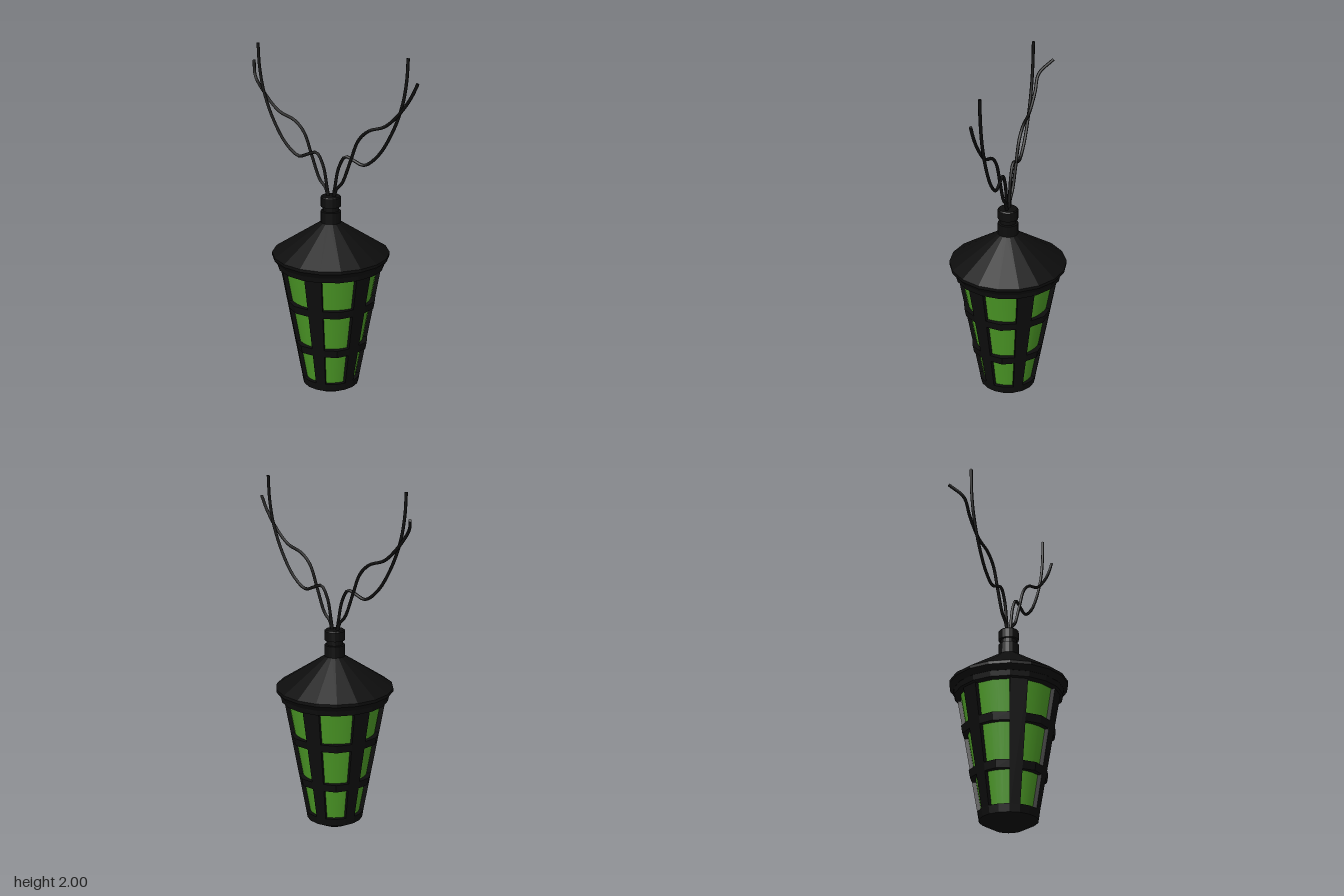
import * as THREE from 'three';

const DEG = Math.PI / 180;
const SIDES = 18;
const START = 5 * DEG; // angle of the first facet corner

// Outer radius of the tapering body at height y
const bodyRadius = (y) => 0.162 + (y - 0.05) * 0.18;

// A box bent round the y axis: x becomes angle, z becomes depth below the body surface
function bentBox(a0, a1, y0, y1, depth, segments, bulge = 0) {
  const g = new THREE.BoxGeometry(1, 1, 1, segments, 1, 1);
  const p = g.attributes.position;
  for (let i = 0; i < p.count; i++) {
    const t = p.getX(i) + 0.5;
    const a = (a0 + (a1 - a0) * t) * DEG;
    const y = y0 + (y1 - y0) * (p.getY(i) + 0.5);
    const out = p.getZ(i) > 0;
    const r = bodyRadius(y) - (out ? 0 : depth) + (out ? bulge * Math.sin(t * Math.PI) : 0);
    p.setXYZ(i, Math.sin(a) * r, y, Math.cos(a) * r);
  }
  g.computeVertexNormals();
  return g;
}

export function createModel() {
  const model = new THREE.Group();
  model.name = 'hangingLantern';
  const black = new THREE.MeshStandardMaterial({ color: 0x0d0d0d, flatShading: true, side: THREE.DoubleSide });
  const wireBlack = new THREE.MeshStandardMaterial({ color: 0x0d0d0d });
  const green = new THREE.MeshStandardMaterial({ color: 0x4c9a26, side: THREE.DoubleSide });

  const lantern = new THREE.Group();
  lantern.name = 'lantern';
  lantern.position.x = -0.01;
  model.add(lantern);

  const add = (name, geometry, material, parent = lantern) => {
    const mesh = new THREE.Mesh(geometry, material);
    mesh.name = name;
    parent.add(mesh);
    return mesh;
  };
  const turned = (name, points, sides = SIDES) =>
    add(name, new THREE.LatheGeometry(points.map(([r, y]) => new THREE.Vector2(r, y)), sides, START), black);

  // Conical roof with an undercut eave
  turned('roof', [[0.27, 0.79], [0.312, 0.795], [0.335, 0.825], [0.335, 0.842], [0.055, 1.025], [0, 1.025]]);

  // Neck and cap with a groove between them
  turned('neck', [[0.058, 1.01], [0.058, 1.088], [0.046, 1.09], [0.046, 1.115],
    [0.058, 1.117], [0.058, 1.17], [0.052, 1.176], [0, 1.176]]);

  // Top band under the eave
  turned('topBand', [[0.27, 0.76], [bodyRadius(0.76), 0.76], [0.305, 0.765], [0.312, 0.8], [0.27, 0.8]]);

  // Closed base with a chamfered foot
  turned('base', [[0, 0.004], [0.083, 0.004], [0.162, 0.045], [bodyRadius(0.09), 0.09], [0.13, 0.09]]);

  // Green inner shade
  add('shade', new THREE.CylinderGeometry(bodyRadius(0.79) - 0.024, bodyRadius(0.06) - 0.024, 0.73, 36, 1, true), green)
    .position.y = 0.425;

  // Six uprights, and two cross bars over each window
  for (let k = 0; k < 6; k++) {
    const a = k * 60;
    add('upright', bentBox(a - 15, a + 5, 0.05, 0.79, 0.03, 1), black);
    for (const y of [0.275, 0.53]) {
      add('crossBar', bentBox(a + 5, a + 45, y, y + 0.045, 0.03, 2, 0.01), black);
    }
  }

  // Twisting wires rising to both sides: [x, y] with z following the slanted plane
  const wires = [
    { slope: 0.24, path: [[0.015, 1.17], [0.025, 1.23], [0.05, 1.35], [0.09, 1.415], [0.14, 1.4], [0.2, 1.38],
      [0.28, 1.44], [0.36, 1.57], [0.42, 1.73], [0.445, 1.87], [0.452, 2]] },
    { slope: 0.29, path: [[0.02, 1.17], [0.035, 1.22], [0.07, 1.26], [0.12, 1.39], [0.17, 1.52], [0.23, 1.58],
      [0.33, 1.62], [0.42, 1.71], [0.48, 1.8], [0.515, 1.875]] },
  ];
  for (const side of [1, -1]) {
    wires.forEach(({ slope, path }, w) => {
      const points = path.map(([x, y]) => new THREE.Vector3(side * x, y, side * x * slope));
      // One tip is bent backwards
      if (side < 0 && w === 1) points[points.length - 1].z = -0.22;
      const curve = new THREE.CatmullRomCurve3(points, false, 'centripetal');
      add(side > 0 ? 'leftWire' : 'rightWire', new THREE.TubeGeometry(curve, 48, 0.009, 8), wireBlack);
      // Closed tip
      const tip = add('wireTip', new THREE.CircleGeometry(0.009, 8), black);
      tip.position.copy(points[points.length - 1]);
      tip.quaternion.setFromUnitVectors(new THREE.Vector3(0, 0, 1), curve.getTangent(1));
    });
  }
  return model;
}
